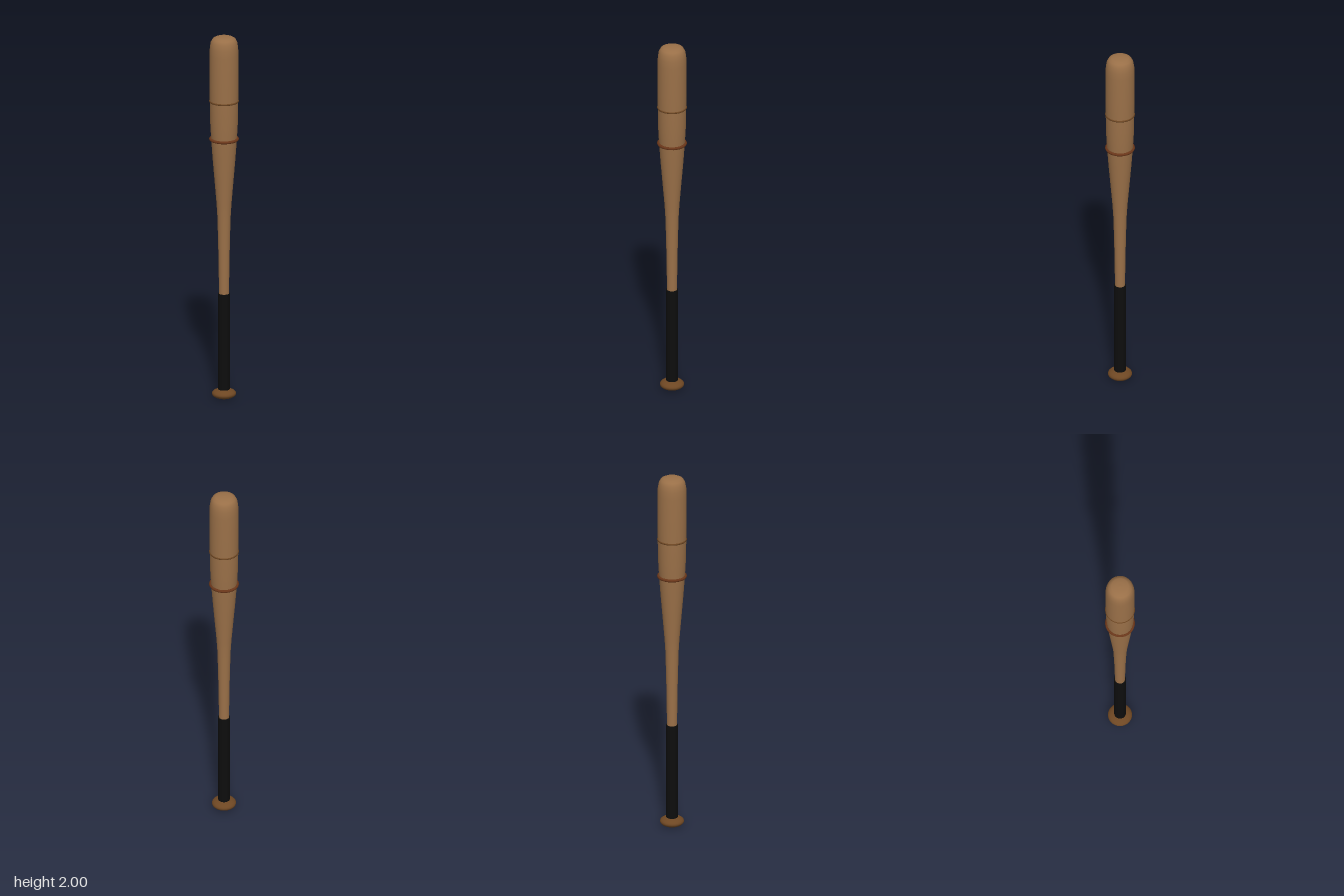
import * as THREE from 'three';

const SIDES = 24;

function material(name, color) {
  const m = new THREE.MeshStandardMaterial({ color });
  m.name = name;
  return m;
}

// Turned part from [radius, height] points, listed from bottom to top
function turned(name, points, mat) {
  const profile = points.map(([r, y]) => new THREE.Vector2(r, y));
  const mesh = new THREE.Mesh(new THREE.LatheGeometry(profile, SIDES), mat);
  mesh.name = name;
  return mesh;
}

function ring(name, y, radius, tube, mat) {
  const mesh = new THREE.Mesh(new THREE.TorusGeometry(radius, tube, 8, SIDES), mat);
  mesh.name = name;
  mesh.rotation.x = Math.PI / 2;
  mesh.position.y = y;
  return mesh;
}

export function createModel() {
  const wood = material('wood', 0x9a7048);
  const darkWood = material('dark wood', 0x6e4723);
  const redBrown = material('red brown', 0x6b371a);
  const black = material('black grip', 0x0d0d0d);

  const bat = new THREE.Group();
  bat.name = 'bat';

  // Tapered handle and barrel with a rounded tip
  bat.add(turned('barrel', [
    [0.027, 0.56], [0.028, 0.7], [0.031, 0.85], [0.035, 1.0], [0.040, 1.08],
    [0.050, 1.2], [0.060, 1.32], [0.068, 1.43], [0.073, 1.52], [0.075, 1.62],
    [0.077, 1.75], [0.077, 1.9], [0.075, 1.94], [0.070, 1.97],
    [0.060, 1.988], [0.045, 1.996], [0.022, 1.999], [0, 2.0],
  ], wood));

  // Grip sleeve with separate end faces to keep the edges crisp
  const grip = new THREE.Mesh(new THREE.CylinderGeometry(0.031, 0.031, 0.54, SIDES), black);
  grip.name = 'grip';
  grip.position.y = 0.31;
  bat.add(grip);

  // Flattened round knob
  const knob = [];
  for (let i = 0; i <= 12; i++) {
    const a = -Math.PI / 2 + (Math.PI * i) / 12;
    knob.push([i % 12 ? 0.064 * Math.cos(a) : 0, 0.027 + 0.027 * Math.sin(a)]);
  }
  bat.add(turned('knob', knob, darkWood));

  // Raised barrel rings
  bat.add(ring('upperRing', 1.645, 0.073, 0.006, darkWood));
  bat.add(ring('lowerRing', 1.435, 0.071, 0.008, redBrown));

  return bat;
}
